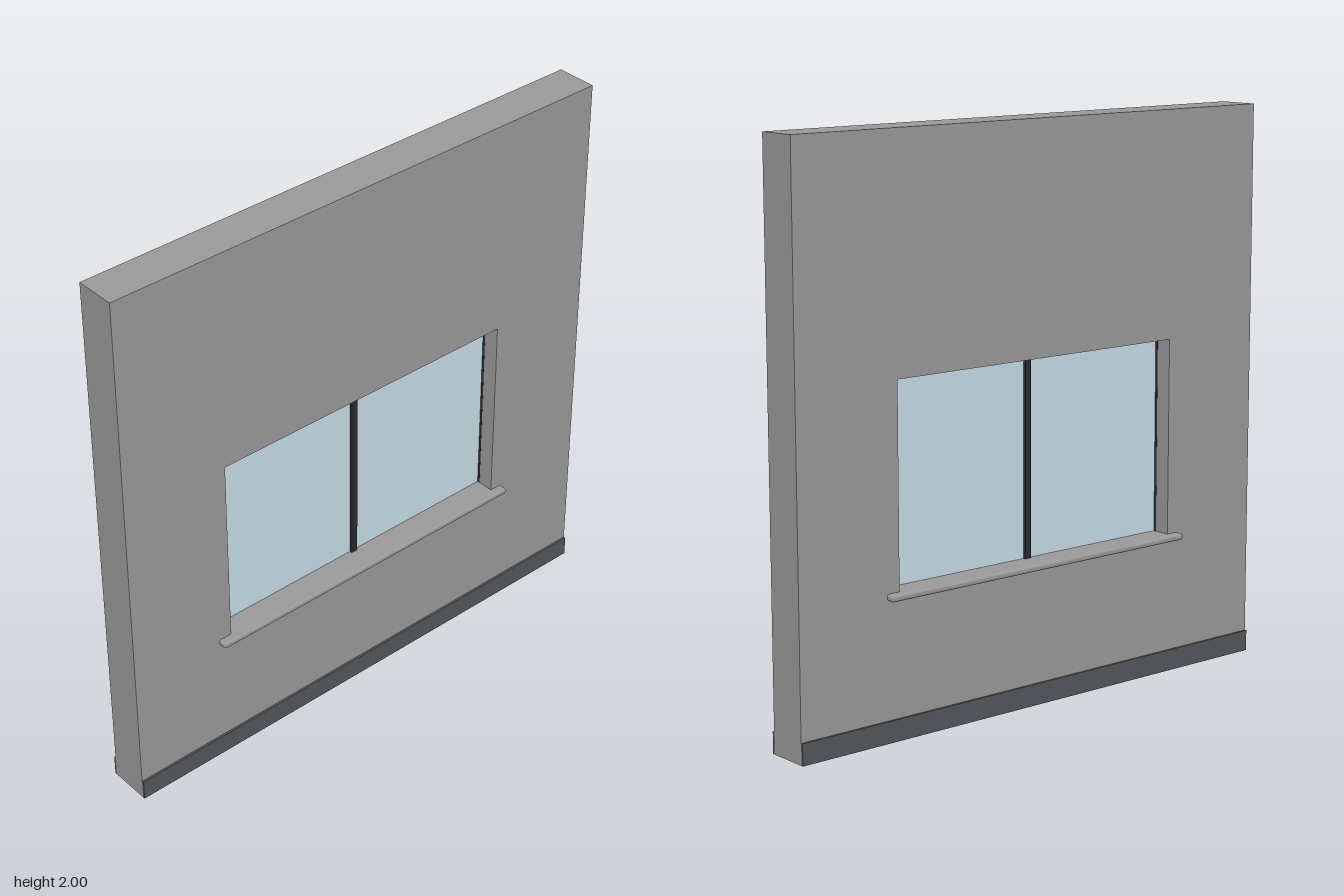
import * as THREE from 'three';
import { RoundedBoxGeometry } from 'three/addons/geometries/RoundedBoxGeometry.js';

const WALL_DEPTH = 0.148;
const OPENING = { x: 0.6, bottom: 0.5, top: 1.2 };

const material = (color) => new THREE.MeshStandardMaterial({ color });

function rectangle(PathType, x, bottom, top) {
  return new PathType([
    new THREE.Vector2(-x, bottom),
    new THREE.Vector2(x, bottom),
    new THREE.Vector2(x, top),
    new THREE.Vector2(-x, top),
  ]);
}

// Rectangular panel with a rectangular hole, centred in depth
function holedPanel(outer, inner, depth) {
  const shape = rectangle(THREE.Shape, outer.x, outer.bottom, outer.top);
  shape.holes.push(rectangle(THREE.Path, inner.x, inner.bottom, inner.top));
  return new THREE.ExtrudeGeometry(shape, { depth, bevelEnabled: false }).translate(0, 0, -depth / 2);
}

export function createModel() {
  const group = new THREE.Group();
  const grey = material(0x999999);
  const dark = material(0x2a2c34);
  const slate = material(0x53565c);
  const glass = material(0xc6dce6);

  function add(name, geometry, mat, x = 0, y = 0, z = 0) {
    const mesh = new THREE.Mesh(geometry, mat);
    mesh.name = name;
    mesh.position.set(x, y, z);
    group.add(mesh);
  }

  // Wall with the window opening
  add('wall', holedPanel({ x: 1, bottom: 0, top: 2 }, OPENING, WALL_DEPTH), grey);

  // Thin frame lining the opening, almost flush with it
  const lip = 0.0005;
  const frameInner = { x: OPENING.x - lip, bottom: OPENING.bottom + lip, top: OPENING.top - lip };
  add('windowFrame', holedPanel(OPENING, frameInner, 0.03), dark);

  // Two panes either side of the mullion
  const height = OPENING.top - OPENING.bottom;
  const middle = (OPENING.top + OPENING.bottom) / 2;
  for (const side of [-1, 1]) {
    const name = side > 0 ? 'leftPane' : 'rightPane';
    add(name, new THREE.BoxGeometry(OPENING.x, height, 0.01), glass, side * OPENING.x / 2, middle);
  }
  add('mullion', new THREE.BoxGeometry(0.025, height, 0.03), dark, 0, middle);

  // Rounded sill running through the wall, just covering the bottom of the frame
  add('sill', new RoundedBoxGeometry(1.3, 0.023, 0.208, 4, 0.009), grey, 0, 0.4895);

  // Skirting boards on both faces
  for (const side of [-1, 1]) {
    const name = side > 0 ? 'frontSkirting' : 'backSkirting';
    add(name, new THREE.BoxGeometry(2, 0.075, 0.008), slate, 0, 0.0375, side * (WALL_DEPTH / 2 + 0.004));
  }

  return group;
}
